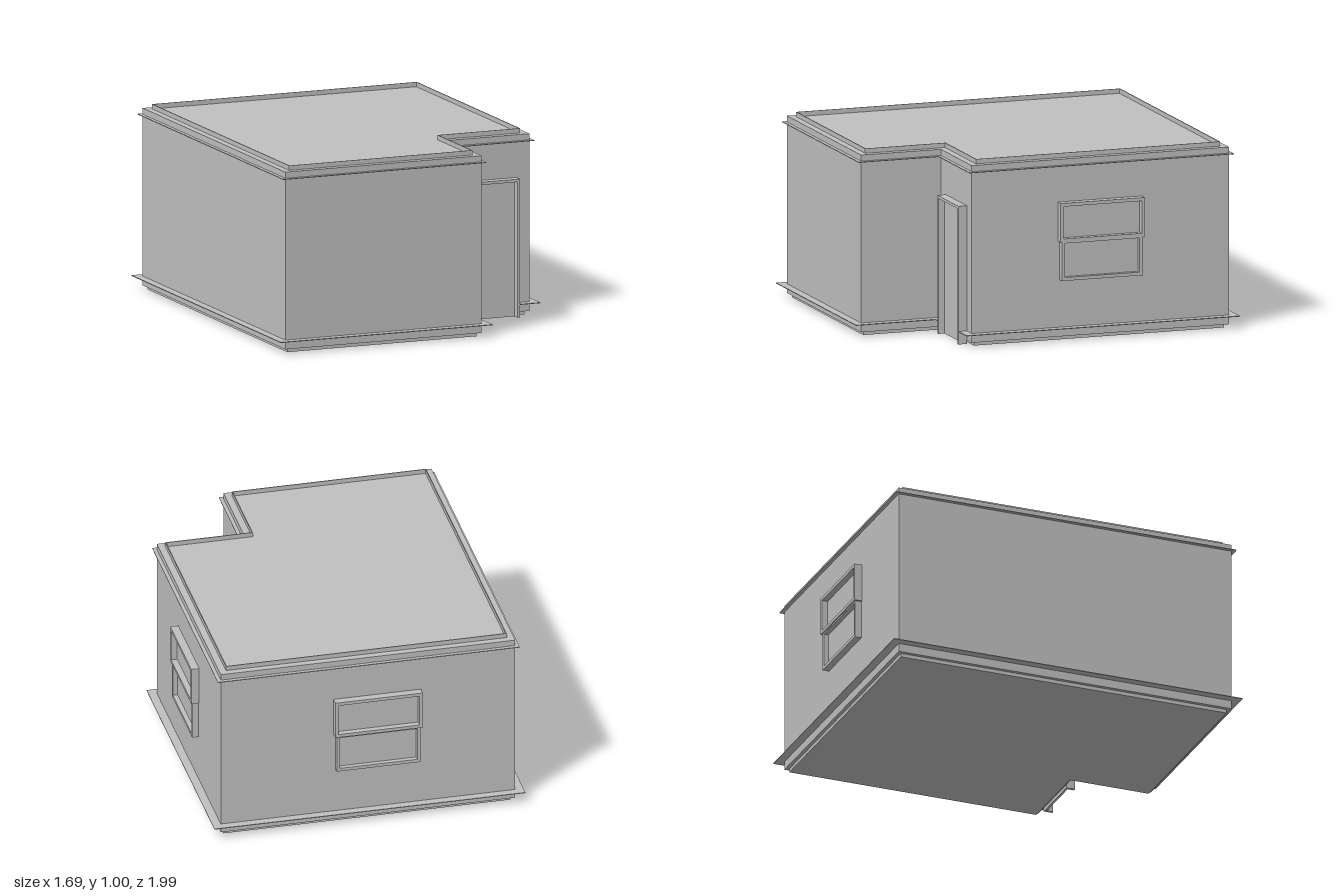
import * as THREE from 'three';

const grey = new THREE.MeshStandardMaterial({ color: 0xc0c0c0 });
grey.name = 'plain grey';

const toShape = (pts, Type = THREE.Shape) => new Type(pts.map(([x, z]) => new THREE.Vector2(x, z)));

// L-shaped floor plan, pushed outward by d; doorGap steps back to the wall at the door
function plan(d, doorGap = false) {
  const gap = doorGap ? [[0.725, 0.5 + d], [0.725, 0.5], [0.405, 0.5], [0.405, 0.5 + d]] : [];
  return [
    [-0.8 - d, -0.95 - d], [0.8 + d, -0.95 - d], [0.8 + d, 0.5 + d], ...gap,
    [0.33 + d, 0.5 + d], [0.33 + d, 0.95 + d], [-0.8 - d, 0.95 + d],
  ];
}

// Upright slab made from a floor plan between two heights
function slab(name, outline, bottom, top, hole) {
  const shape = toShape(outline);
  if (hole) shape.holes.push(toShape(hole, THREE.Path));
  const geo = new THREE.ExtrudeGeometry(shape, { depth: top - bottom, bevelEnabled: false });
  geo.rotateX(Math.PI / 2).translate(0, top, 0);
  const mesh = new THREE.Mesh(geo, grey);
  mesh.name = name;
  return mesh;
}

function box(name, w, h, d, x, y, z) {
  const mesh = new THREE.Mesh(new THREE.BoxGeometry(w, h, d), grey);
  mesh.position.set(x, y, z);
  mesh.name = name;
  return mesh;
}

// Rectangular frame standing out along +z, bottom centre at the origin
function frame(name, w, h, t, depth, openBottom = false) {
  const rect = (hw, y0, y1) => [[-hw, y0], [hw, y0], [hw, y1], [-hw, y1]];
  const hw = w / 2;
  const shape = openBottom
    ? toShape([[-hw, 0], [-hw + t, 0], [-hw + t, h - t], [hw - t, h - t], [hw - t, 0], [hw, 0], [hw, h], [-hw, h]])
    : toShape(rect(hw, 0, h));
  if (!openBottom) shape.holes.push(toShape(rect(hw - t, t, h - t), THREE.Path));
  const mesh = new THREE.Mesh(new THREE.ExtrudeGeometry(shape, { depth, bevelEnabled: false }), grey);
  mesh.name = name;
  return mesh;
}

// Two-sash window facing +z, the upper sash a little larger and further out
function makeWindow(name) {
  const g = new THREE.Group();
  g.name = name;
  const lower = frame('lowerSash', 0.455, 0.22, 0.018, 0.036);
  lower.position.y = 0.325;
  const upper = frame('upperSash', 0.475, 0.21, 0.018, 0.043);
  upper.position.y = 0.535;
  g.add(lower, upper, box('pane', 0.44, 0.4, 0.01, 0, 0.535, 0.005));
  return g;
}

export function createModel() {
  const house = new THREE.Group();
  house.name = 'house';

  // Body, base and mouldings
  house.add(
    slab('base', plan(-0.02), 0, 0.02),
    slab('walls', plan(0), 0.02, 0.975),
    slab('skirtingLedge', plan(0.045, true), 0.066, 0.07),
    slab('corniceLedge', plan(0.02), 0.938, 0.942),
    slab('parapet', plan(-0.037), 0.975, 1, plan(-0.042)),
  );

  // Door in the recessed corner
  const door = new THREE.Group();
  door.name = 'door';
  const doorFrame = frame('doorFrame', 0.32, 0.745, 0.015, 0.048, true);
  door.add(doorFrame, box('doorPanel', 0.29, 0.73, 0.012, 0, 0.365, 0.006));
  door.position.set(0.565, 0, 0.5);
  house.add(door);

  // Windows on the side and back walls
  const side = makeWindow('sideWindow');
  side.rotation.y = Math.PI / 2;
  side.position.set(0.8, 0, -0.223);
  const back = makeWindow('backWindow');
  back.rotation.y = Math.PI;
  back.position.set(-0.05, 0, -0.95);
  house.add(side, back);

  return house;
}
